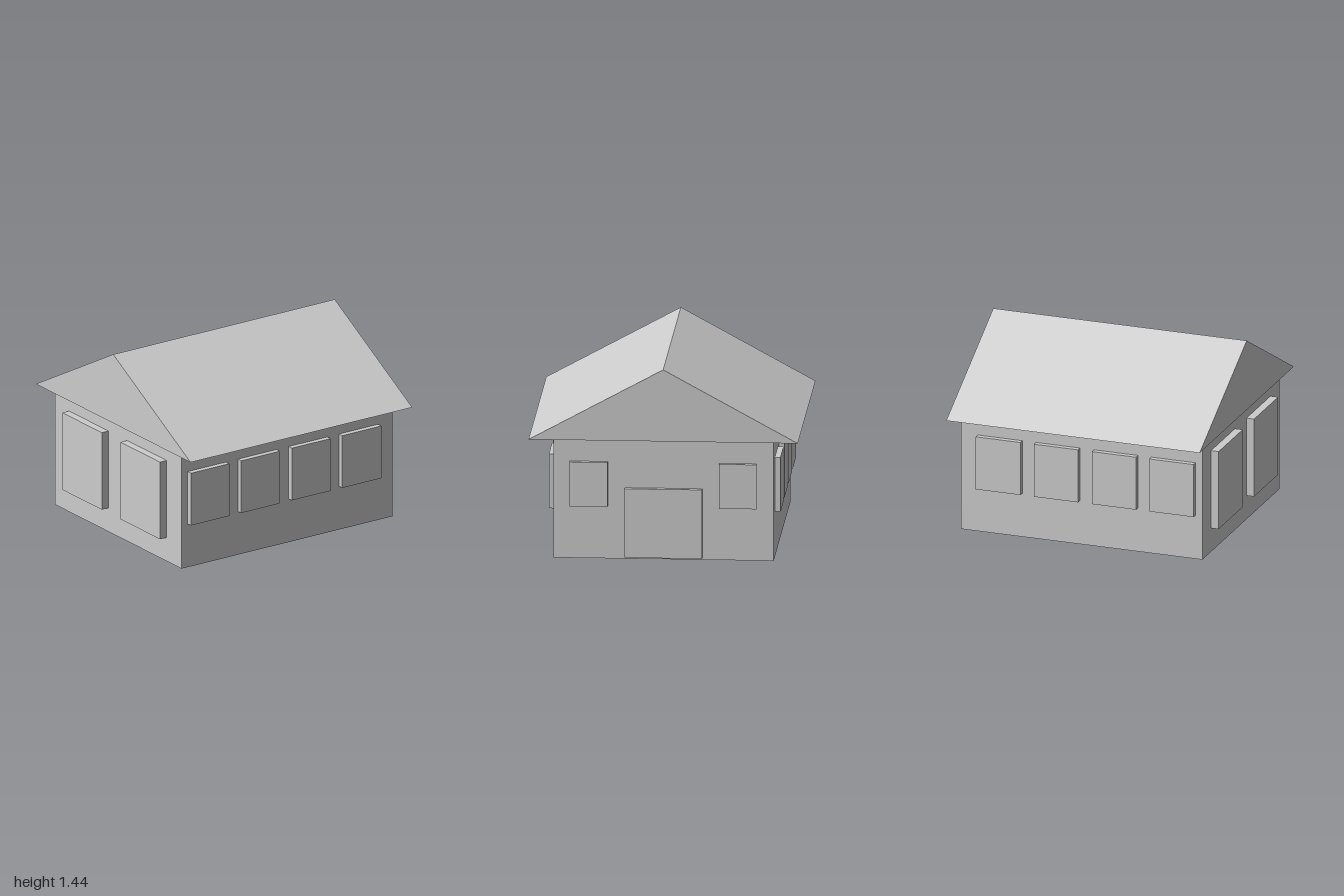
import * as THREE from 'three';

export function createModel() {
  const house = new THREE.Group();
  house.name = 'house';
  const grey = new THREE.MeshStandardMaterial({ color: 0xcccccc });
  grey.name = 'plain grey';

  // Box given by its extents on each axis
  function block(name, [x0, x1], [y0, y1], [z0, z1]) {
    const mesh = new THREE.Mesh(new THREE.BoxGeometry(x1 - x0, y1 - y0, z1 - z0), grey);
    mesh.position.set((x0 + x1) / 2, (y0 + y1) / 2, (z0 + z1) / 2);
    mesh.name = name;
    house.add(mesh);
  }

  const half = 0.81, front = 0.94, back = -0.95;
  block('walls', [-half, half], [0, 0.9], [back, front]);

  // Solid gable roof with overhanging eaves
  const gable = new THREE.Shape([
    new THREE.Vector2(-0.99, 0.9),
    new THREE.Vector2(0.99, 0.9),
    new THREE.Vector2(0, 1.44),
  ]);
  const roof = new THREE.Mesh(
    new THREE.ExtrudeGeometry(gable, { depth: 1.985, bevelEnabled: false }), grey);
  roof.position.z = -1;
  roof.name = 'roof';
  house.add(roof);

  // Large front windows
  block('frontWindowRight', [-0.63, -0.125], [0.185, 0.79], [front, 1]);
  block('frontWindowLeft', [0.115, 0.62], [0.185, 0.79], [front, 1]);

  // Four windows along each side
  [[0.54, 0.885], [0.09, 0.435], [-0.365, -0.02], [-0.82, -0.47]].forEach((z, i) => {
    block(`sideWindowLeft${i + 1}`, [half, 0.852], [0.34, 0.75], z);
    block(`sideWindowRight${i + 1}`, [-0.852, -half], [0.34, 0.75], z);
  });

  // Back door between two small windows
  const backDepth = [-0.985, back];
  block('backDoor', [-0.285, 0.285], [0.015, 0.535], backDepth);
  block('backWindowLeft', [0.41, 0.69], [0.395, 0.73], backDepth);
  block('backWindowRight', [-0.685, -0.41], [0.395, 0.73], backDepth);

  return house;
}
